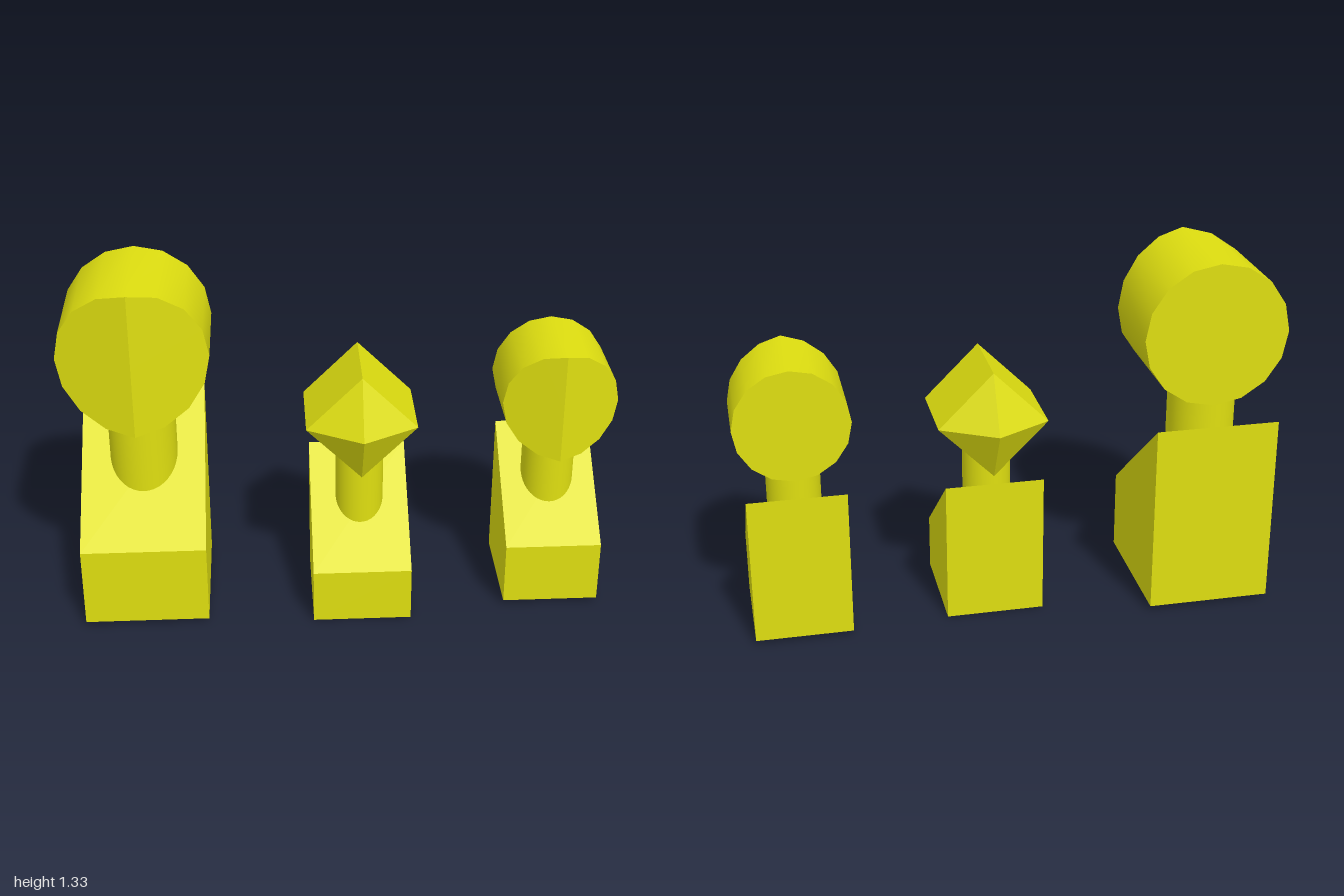
import * as THREE from 'three';
import { toCreasedNormals } from 'three/addons/utils/BufferGeometryUtils.js';

const yellow = new THREE.MeshStandardMaterial({ color: 0xdede10 });
yellow.name = 'yellow';

function part(name, geometry) {
  const mesh = new THREE.Mesh(geometry, yellow);
  mesh.name = name;
  return mesh;
}

// Block with a top that slopes up from the front to the back
function slopedBase({ x0, x1, y0, front, back, frontY, backY }) {
  const side = new THREE.Shape([
    new THREE.Vector2(-front, y0),
    new THREE.Vector2(-back, y0),
    new THREE.Vector2(-back, backY),
    new THREE.Vector2(-front, frontY),
  ]);
  const geo = new THREE.ExtrudeGeometry(side, { depth: x1 - x0, bevelEnabled: false });
  geo.rotateY(Math.PI / 2).translate(x0, 0, 0);
  return part('slopedBase', geo);
}

// Prism lying along z; its ends are raised by the rule tip(x, y, end)
function prismHead({ x, y, r, sides, back, front, tip }) {
  const geo = new THREE.CylinderGeometry(r, r, front - back, sides);
  geo.rotateX(Math.PI / 2).translate(0, 0, (front + back) / 2);
  const p = geo.attributes.position;
  const middle = (front + back) / 2;
  for (let i = 0; i < p.count; i++) {
    const end = p.getZ(i) > middle ? 1 : -1;
    p.setZ(i, p.getZ(i) + end * tip(p.getX(i) / r, p.getY(i) / r, end));
  }
  const creased = toCreasedNormals(geo, 0.5);
  creased.translate(x, y, 0);
  return part('head', creased);
}

// Upright post running from inside the base into the head
function stem({ x, z, r, y0, y1 }) {
  const geo = new THREE.CylinderGeometry(r, r, y1 - y0, 40);
  geo.translate(x, (y0 + y1) / 2, z);
  return part('stem', geo);
}

// Front end folded along a vertical ridge, back end flat
const ridge = (height) => (x, y, end) => (end > 0 ? height * (1 - Math.abs(x)) : 0);
// Both ends drawn out to a point
const point = (height) => (x, y) => height * Math.max(0, 1 - Math.hypot(x, y));

const pieces = [
  {
    name: 'largeRoundPiece',
    base: { x0: -0.96, x1: -0.503, y0: 0.018, front: 0.247, back: -0.27, frontY: 0.32, backY: 0.737 },
    stem: { x: -0.73, z: -0.062, r: 0.125, y0: 0.3, y1: 1.0 },
    head: { x: -0.731, y: 1.063, r: 0.268, sides: 16, back: -0.205, front: 0.155, tip: ridge(0.092) },
  },
  {
    name: 'diamondPiece',
    base: { x0: -0.112, x1: 0.251, y0: 0, front: 0.253, back: -0.157, frontY: 0.207, backY: 0.535 },
    stem: { x: 0.07, z: 0.01, r: 0.089, y0: 0.15, y1: 0.75 },
    head: { x: 0.07, y: 0.76, r: 0.201, sides: 4, back: -0.14, front: 0.16, tip: point(0.112) },
  },
  {
    name: 'smallRoundPiece',
    base: { x0: 0.61, x1: 0.966, y0: 0.018, front: 0.19, back: -0.212, frontY: 0.255, backY: 0.576 },
    stem: { x: 0.788, z: -0.048, r: 0.098, y0: 0.2, y1: 0.78 },
    head: { x: 0.788, y: 0.829, r: 0.209, sides: 16, back: -0.16, front: 0.117, tip: ridge(0.072) },
  },
];

export function createModel() {
  const model = new THREE.Group();
  model.name = 'threePieces';
  for (const piece of pieces) {
    const group = new THREE.Group();
    group.name = piece.name;
    group.add(slopedBase(piece.base), stem(piece.stem), prismHead(piece.head));
    model.add(group);
  }
  return model;
}
